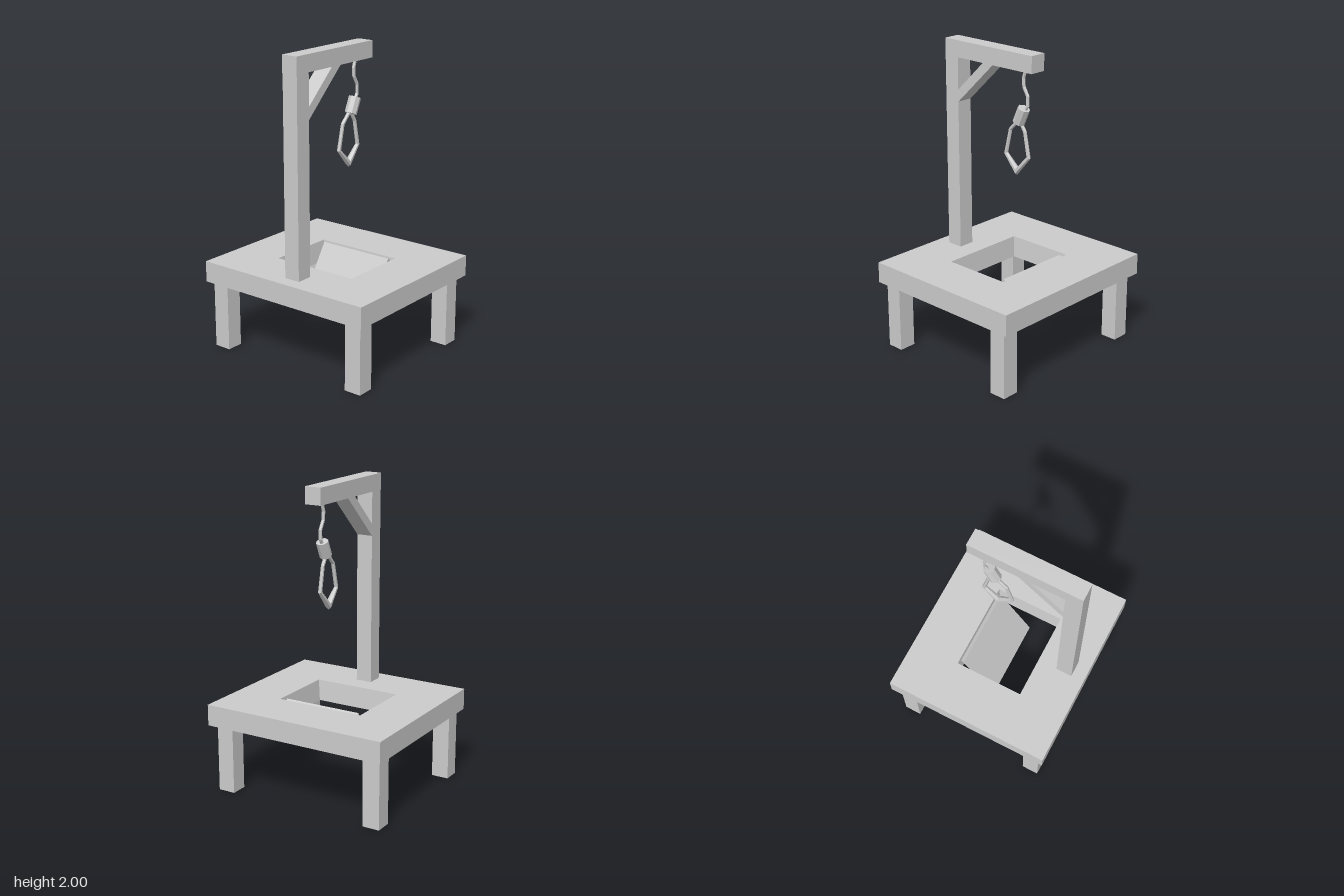
import * as THREE from 'three';

const mat = new THREE.MeshStandardMaterial({ color: 0xcccccc, flatShading: true });
const matDouble = new THREE.MeshStandardMaterial({ color: 0xcccccc, flatShading: true, side: THREE.DoubleSide });

// Skin of quads over a list of cross-section rings; optionally joins last ring to first.
function loft(rings, closed) {
  const pos = [];
  const n = rings[0].length;
  for (let i = 0; i < rings.length - (closed ? 0 : 1); i++) {
    const r = rings[i], s = rings[(i + 1) % rings.length];
    for (let j = 0; j < n; j++) {
      const k = (j + 1) % n;
      for (const p of [r[j], r[k], s[k], r[j], s[k], s[j]]) pos.push(...p);
    }
  }
  const g = new THREE.BufferGeometry();
  g.setAttribute('position', new THREE.Float32BufferAttribute(pos, 3));
  g.computeVertexNormals();
  return g;
}

// Mitred faceted rope in an upright plane; points are [x, y, radius, depthRadius].
function ropeGeometry(points, z, sides) {
  const rings = points.map(([x, y, r, rz = r], i) => {
    const p = new THREE.Vector2(x, y);
    const at = (k) => new THREE.Vector2(points[k][0], points[k][1]);
    const dIn = i > 0 ? p.clone().sub(at(i - 1)).normalize() : null;
    const dOut = i < points.length - 1 ? at(i + 1).sub(p).normalize() : null;
    const a = dIn || dOut, b = dOut || dIn;
    const t = a.clone().add(b).normalize();
    const w = r / Math.max(t.dot(a), 0.4);
    return Array.from({ length: sides }, (_, j) => {
      const ang = (j / sides) * Math.PI * 2;
      const c = Math.cos(ang) * w;
      return [x - t.y * c, y + t.x * c, z + Math.sin(ang) * rz];
    });
  });
  return loft(rings, false);
}

export function createModel() {
  const model = new THREE.Group();
  const add = (name, geometry, material = mat) => {
    const m = new THREE.Mesh(geometry, material);
    m.name = name;
    model.add(m);
    return m;
  };
  const box = (name, x0, x1, y0, y1, z0, z1) => {
    const m = add(name, new THREE.BoxGeometry(x1 - x0, y1 - y0, z1 - z0));
    m.position.set((x0 + x1) / 2, (y0 + y1) / 2, (z0 + z1) / 2);
    return m;
  };

  // Platform slab with a slightly tapered opening
  const rect = (x, z, y) => [[-x, y, z], [x, y, z], [x, y, -z], [-x, y, -z]];
  add('platform', loft([
    rect(0.57, 0.632, 0.455), rect(0.57, 0.632, 0.595),
    rect(0.235, 0.3, 0.595), rect(0.22, 0.283, 0.455),
  ], true));

  // Four legs
  for (const x of [-0.53, 0.405])
    for (const z of [-0.6, 0.48])
      box('leg', x, x + 0.113, 0, 0.46, z, z + 0.116);

  // Upright post and overhead beam
  box('post', -0.48, -0.37, 0.59, 1.89, -0.03, 0.08);
  box('beam', -0.48, 0.26, 1.89, 2, -0.032, 0.08);

  // Diagonal brace
  const brace = new THREE.Shape([[-0.37, 1.6], [-0.065, 1.89], [-0.15, 1.89], [-0.37, 1.68]]
    .map(([x, y]) => new THREE.Vector2(x, y)));
  add('brace', new THREE.ExtrudeGeometry(brace, { depth: 0.11, bevelEnabled: false }))
    .position.z = -0.03;

  // Trapdoor hanging open from the +x edge of the opening
  const low = new THREE.Vector2(-0.012, 0.228), high = new THREE.Vector2(0.215, 0.587);
  const dir = high.clone().sub(low);
  const door = add('trapdoor', new THREE.BoxGeometry(dir.length(), 0.028, 0.535));
  door.position.set((low.x + high.x) / 2, (low.y + high.y) / 2, -0.002);
  door.rotation.z = dir.angle();

  // Kinked rope from beam to knot
  add('rope', ropeGeometry([
    [0.163, 1.9, 0.011], [0.141, 1.835, 0.011], [0.146, 1.78, 0.011],
    [0.178, 1.725, 0.011], [0.178, 1.665, 0.011], [0.145, 1.61, 0.011],
  ], 0.022, 6), matDouble);

  // Knot wrapped round the rope
  const knot = add('knot', new THREE.CylinderGeometry(0.04, 0.04, 0.108, 8));
  knot.position.set(0.129, 1.597, 0.027);
  knot.rotation.z = -0.42;

  // Rope loop, thicker at its lowest point
  add('loop', ropeGeometry([
    [0.108, 1.565, 0.012], [0.088, 1.546, 0.012], [0.033, 1.49, 0.012],
    [-0.005, 1.326, 0.013], [0.09, 1.226, 0.018, 0.023], [0.186, 1.332, 0.013],
    [0.154, 1.494, 0.012], [0.122, 1.545, 0.012], [0.112, 1.565, 0.012],
  ], 0.021, 6), matDouble);

  return model;
}
